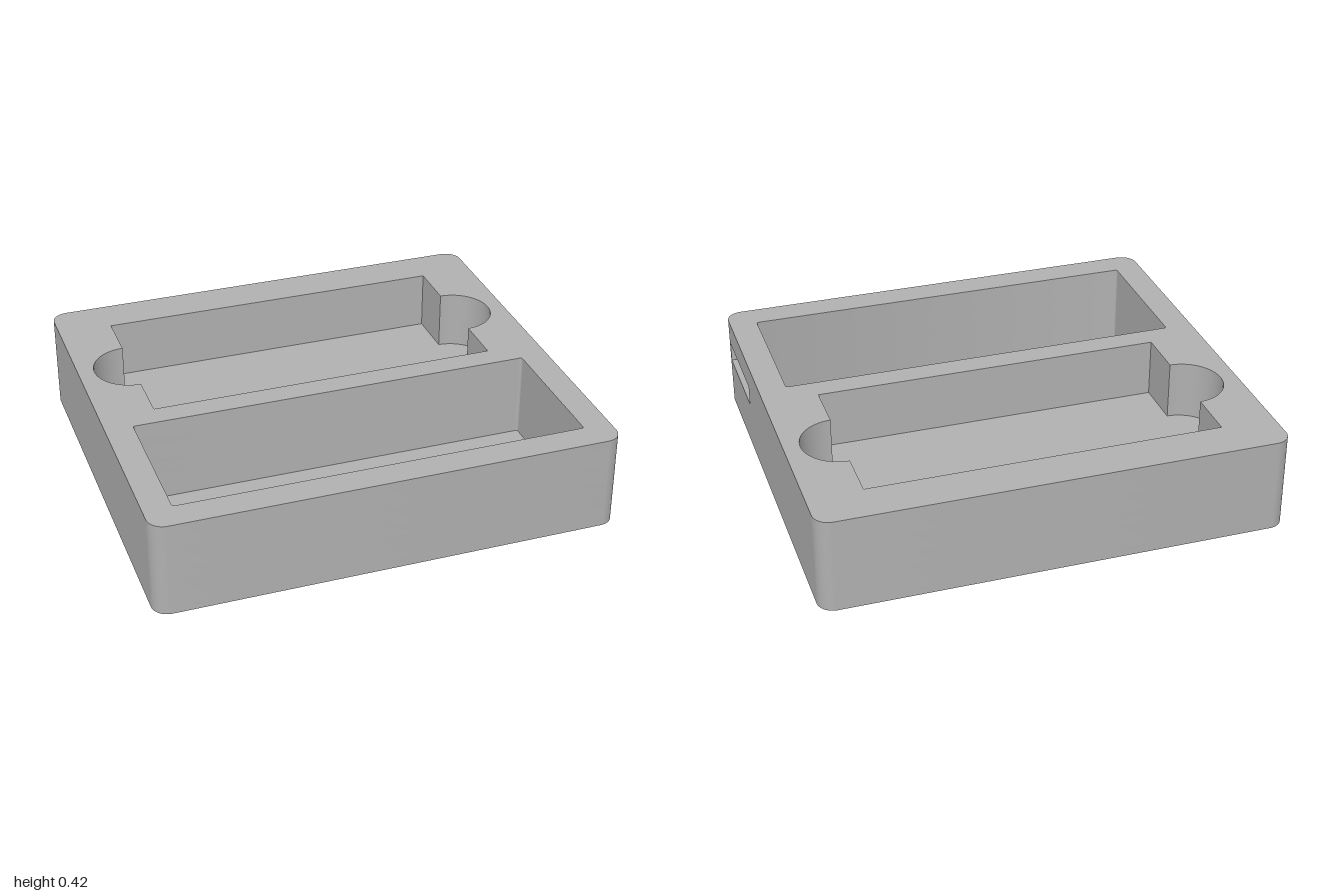
import * as THREE from 'three';
import { toCreasedNormals } from 'three/addons/utils/BufferGeometryUtils.js';

const W = 1, D = 0.907, R = 0.07; // half width, half depth, corner radius

// Rounded rectangle; shape y runs towards the back (-z). An optional notch cuts the +x side.
function roundedRect(path, x0, x1, y0, y1, r, notch) {
  path.moveTo(x0 + r, y0);
  path.absarc(x1 - r, y0 + r, r, -Math.PI / 2, 0, false);
  if (notch) {
    path.lineTo(x1, notch.y0);
    path.lineTo(x1 - notch.depth, notch.y0);
    path.lineTo(x1 - notch.depth, notch.y1);
    path.lineTo(x1, notch.y1);
  }
  path.absarc(x1 - r, y1 - r, r, 0, Math.PI / 2, false);
  path.absarc(x0 + r, y1 - r, r, Math.PI / 2, Math.PI, false);
  path.absarc(x0 + r, y0 + r, r, Math.PI, Math.PI * 1.5, false);
  return path;
}

// Rear pocket: rectangle with a half-round finger recess at each end
function rearPocket() {
  const x = 0.763, y0 = -0.053, y1 = 0.719, yc = 0.333, r = 0.166;
  const p = new THREE.Path();
  p.moveTo(-x, y0);
  p.lineTo(x, y0);
  p.absarc(x, yc, r, -Math.PI / 2, Math.PI / 2, false);
  p.lineTo(x, y1);
  p.lineTo(-x, y1);
  p.absarc(-x, yc, r, Math.PI / 2, Math.PI * 1.5, false);
  p.lineTo(-x, y0);
  return p;
}

const frontPocket = () => roundedRect(new THREE.Path(), -0.88, 0.88, -0.78, -0.16, 0.01);
const footHole = (x) => new THREE.Path().absarc(x, 0.457, 0.062, 0, Math.PI * 2, false);

export function createModel() {
  const model = new THREE.Group();
  model.name = 'tray';
  const grey = new THREE.MeshStandardMaterial({ color: 0xb0b0b0 });
  grey.name = 'grey';

  // The block is a stack of slabs, each with the cut-outs found at its height
  const slot = { y0: -0.83, y1: -0.41, depth: 0.05 };
  const slabs = [
    { name: 'baseWithFootHoles', from: 0, to: 0.042, holes: [footHole(-0.39), footHole(0.39)] },
    { name: 'rearPocketFloor', from: 0.042, to: 0.157, holes: [frontPocket()] },
    { name: 'lowerWalls', from: 0.157, to: 0.215, holes: [frontPocket(), rearPocket()] },
    { name: 'slottedWalls', from: 0.215, to: 0.303, holes: [frontPocket(), rearPocket()], notch: slot },
    { name: 'upperWalls', from: 0.303, to: 0.417, holes: [frontPocket(), rearPocket()] },
  ];

  for (const { name, from, to, holes, notch } of slabs) {
    const shape = roundedRect(new THREE.Shape(), -W, W, -D, D, R, notch);
    shape.holes.push(...holes);
    const geometry = new THREE.ExtrudeGeometry(shape, {
      depth: to - from, bevelEnabled: false, curveSegments: 24,
    });
    geometry.rotateX(-Math.PI / 2).translate(0, from, 0);
    const mesh = new THREE.Mesh(toCreasedNormals(geometry, 0.6), grey);
    mesh.name = name;
    model.add(mesh);
  }
  return model;
}
